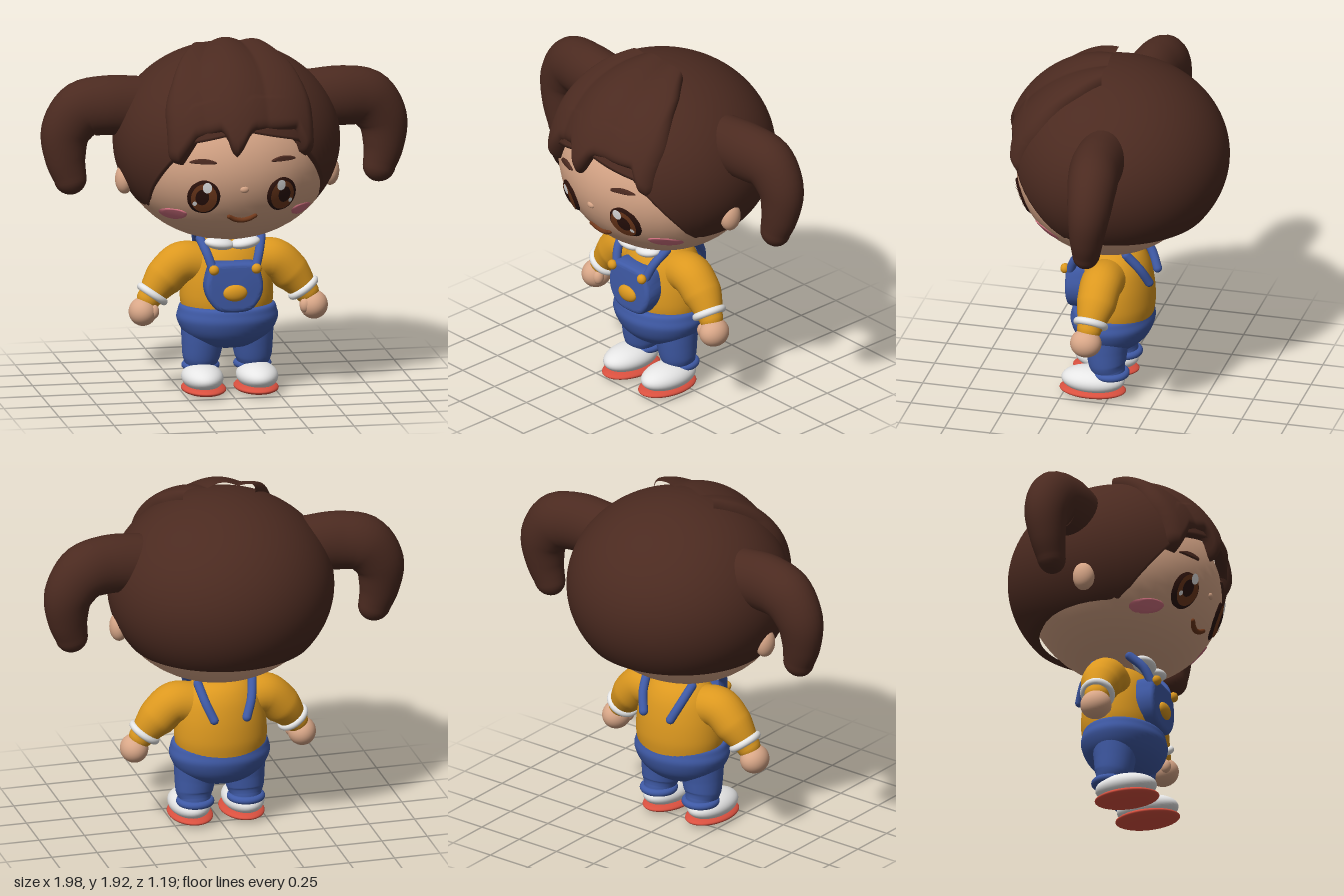
import * as THREE from 'three';
import { mergeVertices, toCreasedNormals } from 'three/addons/utils/BufferGeometryUtils.js';

const mat = (name, color) => Object.assign(new THREE.MeshStandardMaterial({ color }), { name });
const M = {
  hair: mat('hair brown', 0x4b2a20), skin: mat('skin', 0xd9a788), yellow: mat('shirt yellow', 0xdc981f),
  blue: mat('overall blue', 0x3f5aa6), white: mat('white', 0xe6e6e6), red: mat('sole red', 0xd9503f),
  pink: mat('cheek pink', 0xd0707f), brown: mat('iris brown', 0x70391c), dark: mat('eye dark', 0x2a110b),
};

// Piecewise-linear lookup in [x, y] pairs
function lookup(table, x) {
  if (x <= table[0][0]) return table[0][1];
  for (let i = 1; i < table.length; i++) {
    const [x0, y0] = table[i - 1], [x1, y1] = table[i];
    if (x <= x1) return y0 + (y1 - y0) * (x - x0) / (x1 - x0);
  }
  return table[table.length - 1][1];
}

// Smooth surface from a rule f(i, j) -> [x, y, z]
function surface(nu, nv, f) {
  const pos = [], idx = [], w = nu + 1;
  for (let j = 0; j <= nv; j++) for (let i = 0; i <= nu; i++) pos.push(...f(i, j));
  for (let j = 0; j < nv; j++) for (let i = 0; i < nu; i++) {
    const a = j * w + i;
    idx.push(a, a + 1, a + w, a + 1, a + w + 1, a + w);
  }
  let g = new THREE.BufferGeometry();
  g.setAttribute('position', new THREE.Float32BufferAttribute(pos, 3));
  g.setIndex(idx);
  g = mergeVertices(g, 1e-5);
  g.computeVertexNormals();
  return g;
}

// Round-ended limb along a smooth path with a changing radius
function limb(points, radii, flat = 1) {
  const curve = new THREE.CatmullRomCurve3(points.map(p => new THREE.Vector3(...p)));
  const table = radii.map((r, i) => [i / (radii.length - 1), r]);
  const rows = [], n = 28, k = 8;
  for (let i = 0; i < k; i++) rows.push([0, -Math.cos(i / k * Math.PI / 2), Math.sin(i / k * Math.PI / 2)]);
  for (let i = 0; i <= n; i++) rows.push([i / n, 0, 1]);
  for (let i = k - 1; i >= 0; i--) rows.push([1, Math.cos(i / k * Math.PI / 2), Math.sin(i / k * Math.PI / 2)]);
  const frames = rows.map(([t, off, s]) => {
    const T = curve.getTangent(t), r = lookup(table, t);
    const N = new THREE.Vector3(0, 0, 1).addScaledVector(T, -T.z).normalize();
    return { c: curve.getPoint(t).addScaledVector(T, off * r), N, B: T.clone().cross(N), r: r * s };
  });
  return surface(28, rows.length - 1, (i, j) => {
    const { c, N, B, r } = frames[j], a = (i % 28) / 28 * Math.PI * 2;
    return c.clone().addScaledVector(N, r * flat * Math.cos(a)).addScaledVector(B, r * Math.sin(a)).toArray();
  });
}

// Head ellipsoid, shared by the face details
const HC = [0, 1.3, 0.02], HR = [0.57, 0.47, 0.51];
const faceZ = (x, y) => HC[2] + HR[2] * Math.sqrt(Math.max(0, 1 - (x / HR[0]) ** 2 - ((y - HC[1]) / HR[1]) ** 2));

// Thin oval plate that follows the face
function plate(cx, cy, rx, ry, off, sink = false, topScale = 1, bend = 0) {
  const g = new THREE.RingGeometry(0, 1, 40, 6), p = g.attributes.position;
  for (let i = 0; i < p.count; i++) {
    const u = p.getX(i), v = p.getY(i);
    const x = cx + u * rx, y = cy + v * ry * (v > 0 ? topScale : 1) - bend * u * u;
    p.setXYZ(i, x, y, faceZ(x, y) + (sink && Math.hypot(u, v) > 0.95 ? -0.004 : off));
  }
  g.computeVertexNormals();
  return g;
}

// Hair shell: domed, cut level behind and raised around the face
function hairShell() {
  const edge = [[0, 1.52], [30, 1.45], [40, 1.34], [60, 1.11], [68, 1.05], [180, 1.05]];
  const nu = 96, nv = 48;
  return surface(nu, nv + 3, (i, j) => {
    let a = -(i % nu) / nu * Math.PI * 2;
    const deg = Math.abs(THREE.MathUtils.radToDeg(Math.atan2(Math.sin(a), Math.cos(a))));
    const phi = Math.acos((lookup(edge, deg) - 1.36) / 0.52) * Math.min(1, j / nv);
    const s = Math.sin(phi) * (j > nv ? 1 - 0.035 * (j - nv) : 1);
    const rz = Math.cos(a) > 0 ? 0.57 : 0.6;
    return [0.605 * s * Math.sin(a), 1.36 + 0.52 * Math.cos(phi), rz * s * Math.cos(a)];
  });
}

// Fringe: ridged locks sweeping from the crown to the forehead
function fringe() {
  const edge = [[-0.42, 1.34], [-0.36, 1.33], [-0.31, 1.41], [-0.27, 1.47], [-0.13, 1.51], [-0.1, 1.47], [-0.08, 1.41],
    [-0.05, 1.38], [-0.02, 1.41], [0.03, 1.49], [0.06, 1.51], [0.3, 1.5], [0.35, 1.38], [0.39, 1.35], [0.43, 1.36]];
  const round = e => Math.sqrt(1 - (1 - Math.min(1, e)) ** 2);
  const nu = 110, nv = 56;
  return surface(nu, nv, (i, j) => {
    const u = -Math.sin((i / nu - 0.5) * Math.PI), v = Math.sin(j / nv * Math.PI / 2);
    const x = u * (0.22 + 0.215 * Math.sin(Math.min(1, v * 1.6) * Math.PI / 2));
    const k = Math.sqrt(1 - (x / 0.64) ** 2);
    const end = Math.acos(THREE.MathUtils.clamp((lookup(edge, x) - 1.36) / (0.56 * k), -1, 1));
    const phi = 0.06 + (end - 0.06) * v;
    const lock = Math.abs(Math.cos(Math.PI * 1.25 * (u + 0.1)));
    const s = (1 - 0.035 * (1 - lock)) * (0.88 + 0.12 * round((1 - Math.abs(u)) / 0.2) * round((1 - v) / 0.12));
    return [x * s, 1.36 + 0.565 * k * Math.cos(phi) * (v > 0.7 ? 1 : s), 0.605 * k * Math.sin(phi) * s];
  });
}

export function createModel() {
  const model = new THREE.Group();
  const add = (name, geo, material) => {
    const m = new THREE.Mesh(geo, material);
    m.name = name;
    model.add(m);
    return m;
  };
  const ball = (name, material, c, r) => {
    const m = add(name, new THREE.SphereGeometry(1, 40, 28), material);
    m.position.set(...c);
    m.scale.set(...r);
    return m;
  };
  const lathe = (name, material, pts, zScale, z) => {
    const curve = new THREE.SplineCurve(pts.map(p => new THREE.Vector2(...p)));
    const prof = curve.getPoints(30).map(p => new THREE.Vector2(Math.max(0, p.x), p.y));
    const m = add(name, new THREE.LatheGeometry(prof, 48), material);
    m.scale.z = zScale;
    m.position.z = z;
  };

  // Head and hair
  ball('head', M.skin, HC, HR);
  ball('nose', M.skin, [0, 1.2, 0.512], [0.025, 0.02, 0.016]);
  add('hairShell', hairShell(), M.hair);
  add('fringe', fringe(), M.hair);
  const smile = [-0.07, -0.04, 0, 0.04, 0.07].map(x => {
    const y = 1.015 + 5 * x * x;
    return [x, y, faceZ(x, y) + 0.004];
  });
  add('mouth', limb(smile, [0.012, 0.014, 0.014, 0.014, 0.012]), M.brown);

  // Torso, hips and bib
  lathe('shirt', M.yellow, [[0.24, 0.44], [0.25, 0.52], [0.237, 0.64], [0.2, 0.75], [0.13, 0.82], [0, 0.85]], 0.82, 0);
  lathe('hips', M.blue, [[0, 0.24], [0.13, 0.25], [0.225, 0.31], [0.27, 0.39], [0.265, 0.44], [0.25, 0.472], [0.2, 0.475]], 0.82, 0.02);
  const half = [[0.06, 0.735], [0.12, 0.725], [0.147, 0.66], [0.155, 0.59], [0.13, 0.52], [0.07, 0.47]];
  const outline = [...half, ...half.map(([x, y]) => [-x, y]).reverse()].map(p => new THREE.Vector2(...p));
  const bibShape = new THREE.Shape(new THREE.SplineCurve([...outline, outline[0]]).getPoints(60).slice(0, -1));
  const bib = new THREE.ExtrudeGeometry(bibShape, { depth: 0.07, bevelThickness: 0.025, bevelSize: 0.025, bevelOffset: -0.025, bevelSegments: 5 });
  add('bib', toCreasedNormals(bib, 0.8), M.blue).position.z = 0.155;
  ball('bibPocket', M.yellow, [0, 0.575, 0.25], [0.065, 0.045, 0.028]);

  for (const s of [1, -1]) {
    const side = s > 0 ? 'left' : 'right';
    const mx = pts => pts.map(([x, y, z]) => [x * s, y, z]);

    // Pigtail and ear
    add(side + 'Pigtail', limb(mx([[0.46, 1.55, -0.04], [0.63, 1.56, -0.045], [0.77, 1.535, -0.065], [0.855, 1.42, -0.07],
      [0.86, 1.28, -0.06], [0.835, 1.17, -0.05]]), [0.16, 0.16, 0.155, 0.135, 0.11, 0.088], 0.85), M.hair);
    ball(side + 'Ear', M.skin, [0.555 * s, 1.17, 0.02], [0.05, 0.08, 0.06]);

    // Face details
    add(side + 'EyeRim', plate(0.21 * s, 1.155, 0.085, 0.1, 0.012, true), M.dark);
    add(side + 'Iris', plate(0.212 * s, 1.152, 0.066, 0.083, 0.016), M.brown);
    add(side + 'Pupil', plate(0.222 * s, 1.158, 0.034, 0.046, 0.02), M.dark);
    add(side + 'EyeShine', plate(0.2 * s, 1.215, 0.024, 0.03, 0.024), M.white);
    add(side + 'EyeGlint', plate(0.258 * s, 1.12, 0.011, 0.013, 0.024), M.white);
    add(side + 'Brow', plate(0.217 * s, 1.355, 0.072, 0.014, 0.012, true, 1, 0.008), M.hair);
    add(side + 'Cheek', plate(0.345 * s, 1.043, 0.066, 0.046, 0.006, true, 0.6), M.pink);

    // Arm, cuff and hand
    add(side + 'Sleeve', limb(mx([[0.13, 0.69, 0.01], [0.25, 0.7, 0.02], [0.345, 0.62, 0.025], [0.425, 0.52, 0.04]]),
      [0.11, 0.112, 0.105, 0.066]), M.yellow);
    const cuff = add(side + 'Cuff', new THREE.TorusGeometry(0.074, 0.02, 14, 40), M.white);
    cuff.position.set(0.408 * s, 0.54, 0.037);
    cuff.quaternion.setFromUnitVectors(new THREE.Vector3(0, 0, 1), new THREE.Vector3(0.58 * s, -0.81, 0.08).normalize());
    ball(side + 'Hand', M.skin, [0.462 * s, 0.45, 0.05], [0.075, 0.077, 0.084]);
    ball(side + 'Thumb', M.skin, [0.41 * s, 0.455, 0.085], [0.03, 0.04, 0.03]);

    // Collar, straps and buttons
    const collar = ball(side + 'Collar', M.white, [0.07 * s, 0.83, 0.165], [0.08, 0.033, 0.06]);
    collar.rotation.z = 0.15 * s;
    add(side + 'FrontStrap', limb(mx([[0.115, 0.7, 0.225], [0.14, 0.78, 0.19], [0.165, 0.85, 0.12]]), [0.024, 0.024, 0.024]), M.blue);
    add(side + 'BackStrap', limb(mx([[0.15, 0.84, -0.09], [0.125, 0.75, -0.16], [0.09, 0.665, -0.2]]), [0.024, 0.024, 0.024]), M.blue);
    ball(side + 'Button', M.yellow, [0.115 * s, 0.705, 0.255], [0.027, 0.027, 0.024]);

    // Leg, hem and shoe
    add(side + 'Leg', limb(mx([[0.125, 0.36, 0.02], [0.135, 0.26, 0.02], [0.14, 0.19, 0.015], [0.14, 0.15, 0.005]]),
      [0.125, 0.11, 0.1, 0.085]), M.blue);
    const hem = add(side + 'Hem', new THREE.TorusGeometry(0.082, 0.02, 14, 40), M.blue);
    hem.rotation.x = Math.PI / 2;
    hem.position.set(0.14 * s, 0.135, -0.002);
    ball(side + 'Shoe', M.white, [0.148 * s, 0.09, 0.092], [0.11, 0.07, 0.172]);
    ball(side + 'Sole', M.red, [0.142 * s, 0.03, 0.095], [0.118, 0.03, 0.18]);
  }
  return model;
}
